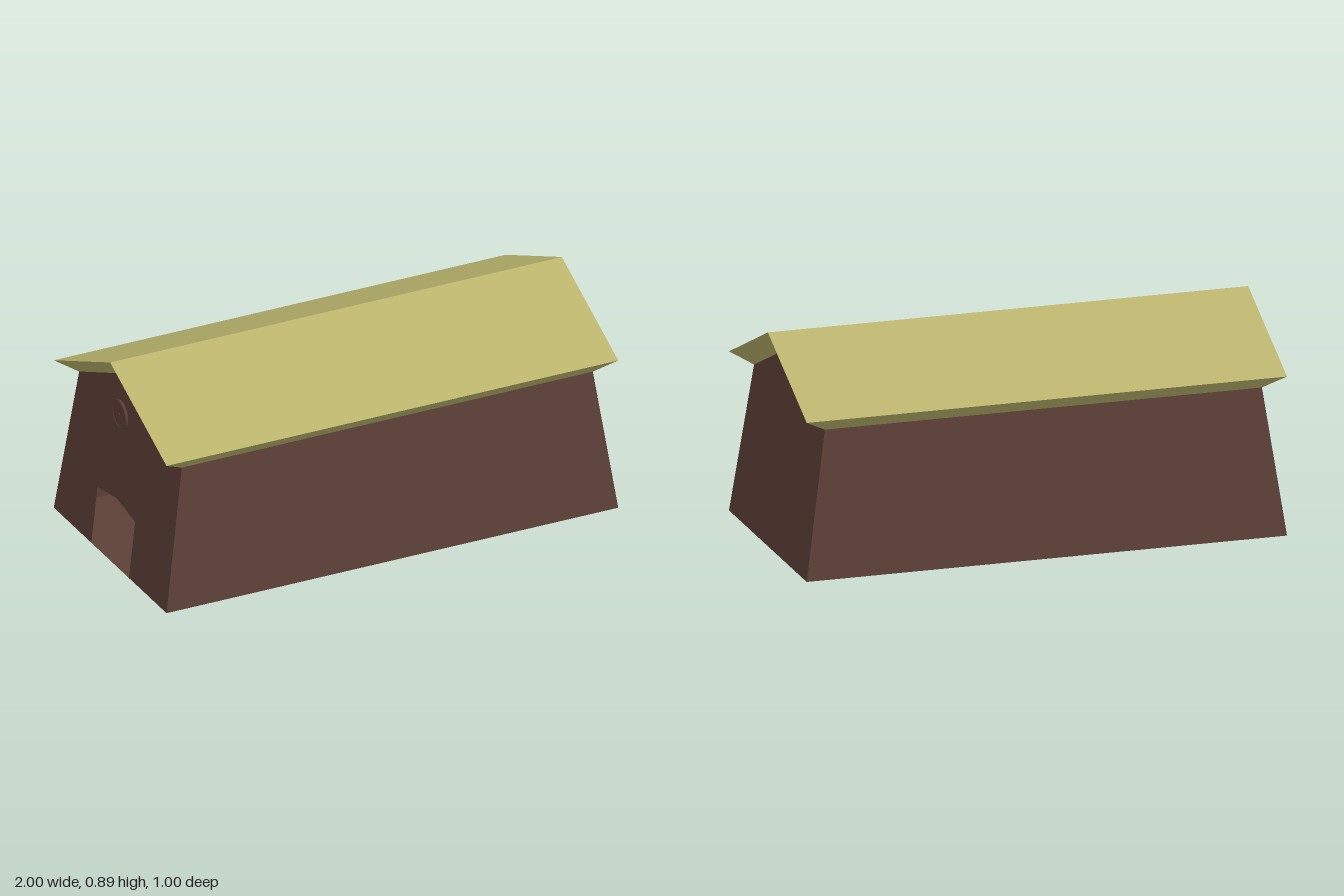
import * as THREE from 'three';

const wallMat = new THREE.MeshStandardMaterial({ color: 0x5d4037, side: THREE.DoubleSide });
wallMat.name = 'brown wood';
const roofMat = new THREE.MeshStandardMaterial({ color: 0xb8b26c, side: THREE.DoubleSide });
roofMat.name = 'straw thatch';

// Half sizes and heights
const BASE = { x: 1, z: 0.5 };
const EAVE = { x: 0.91, y: 0.61, z: 0.455 };
const PEAK = 0.815;
const RIM = { x: 1, y: 0.66, z: 0.5 };
const RIDGE = 0.887;
const LEAN = (BASE.x - EAVE.x) / PEAK; // inward lean of the gable walls

// Flat mesh from convex polygons, corners anticlockwise seen from outside
function faces(name, material, polygons) {
  const pos = [];
  for (const p of polygons) {
    for (let i = 1; i < p.length - 1; i++) pos.push(...p[0], ...p[i], ...p[i + 1]);
  }
  const geo = new THREE.BufferGeometry();
  geo.setAttribute('position', new THREE.Float32BufferAttribute(pos, 3));
  geo.computeVertexNormals();
  const mesh = new THREE.Mesh(geo, material);
  mesh.name = name;
  return mesh;
}

// Gable wall at x = side; the doorway is a notch in its lower edge
function gableWall(side, hasDoor) {
  const group = new THREE.Group();
  group.name = hasDoor ? 'doorGable' : 'plainGable';
  const outline = [[-BASE.z, 0]];
  if (hasDoor) outline.push([-0.167, 0], [-0.167, 0.245], [0, 0.27], [0.167, 0.245], [0.167, 0]);
  outline.push([BASE.z, 0], [0, PEAK]);
  const geo = new THREE.ShapeGeometry(new THREE.Shape(outline.map(([x, y]) => new THREE.Vector2(x, y))));
  const p = geo.attributes.position;
  for (let i = 0; i < p.count; i++) {
    p.setXYZ(i, side * (BASE.x - LEAN * p.getY(i)), p.getY(i), -side * p.getX(i));
  }
  geo.computeVertexNormals();
  const middle = new THREE.Mesh(geo, wallMat);
  middle.name = 'gablePanel';
  group.add(middle);

  // Triangles out to the eave corners
  const corners = [1, -1].map((k) => {
    const tri = [
      [side * BASE.x, 0, k * BASE.z],
      [side * EAVE.x, PEAK, 0],
      [side * EAVE.x, EAVE.y, k * EAVE.z],
    ];
    return side * k > 0 ? tri : tri.reverse();
  });
  group.add(faces('gableCorners', wallMat, corners));
  return group;
}

// Round plaque hung above the door
function plaque() {
  const group = new THREE.Group();
  group.name = 'roundPlaque';
  const add = (name, geo, out) => {
    const mesh = new THREE.Mesh(geo, wallMat);
    mesh.name = name;
    mesh.position.z = out;
    group.add(mesh);
  };
  const disc = (r, depth) => new THREE.CylinderGeometry(r, r, depth, 24).rotateX(Math.PI / 2);
  add('plaqueDisc', disc(0.055, 0.008), 0.027);
  add('plaqueRim', new THREE.TorusGeometry(0.056, 0.007, 6, 24), 0.027);
  add('plaquePeg', disc(0.006, 0.034), 0.016);
  group.position.set(-(BASE.x - LEAN * 0.645), 0.645, 0);
  group.rotation.set(0, -Math.PI / 2, 0);
  return group;
}

export function createModel() {
  const model = new THREE.Group();
  model.name = 'longhouse';

  // Long walls and roof slopes, turned half round for the back
  for (const k of [1, -1]) {
    const side = k > 0 ? 'front' : 'back';
    const P = (x, y, z) => [k * x, y, k * z];
    model.add(faces(side + 'Wall', wallMat, [
      [P(-BASE.x, 0, BASE.z), P(BASE.x, 0, BASE.z), P(EAVE.x, EAVE.y, EAVE.z), P(-EAVE.x, EAVE.y, EAVE.z)],
    ]));
    const slope = [P(-RIM.x, RIM.y, RIM.z), P(RIM.x, RIM.y, RIM.z), P(RIM.x, RIDGE, 0), P(-RIM.x, RIDGE, 0)];
    const soffit = [P(-EAVE.x, EAVE.y, EAVE.z), P(EAVE.x, EAVE.y, EAVE.z), P(RIM.x, RIM.y, RIM.z), P(-RIM.x, RIM.y, RIM.z)];
    // Slanted verge bands at both ends of this slope
    const rightVerge = [P(EAVE.x, EAVE.y, EAVE.z), P(EAVE.x, PEAK, 0), P(RIM.x, RIDGE, 0), P(RIM.x, RIM.y, RIM.z)];
    const leftVerge = [P(-EAVE.x, PEAK, 0), P(-EAVE.x, EAVE.y, EAVE.z), P(-RIM.x, RIM.y, RIM.z), P(-RIM.x, RIDGE, 0)];
    model.add(faces(side + 'Roof', roofMat, [slope, soffit, rightVerge, leftVerge]));
  }

  // Floor, facing down
  model.add(faces('floor', wallMat, [
    [[-BASE.x, 0, -BASE.z], [BASE.x, 0, -BASE.z], [BASE.x, 0, BASE.z], [-BASE.x, 0, BASE.z]],
  ]));

  model.add(gableWall(1, false), gableWall(-1, true), plaque());
  return model;
}
